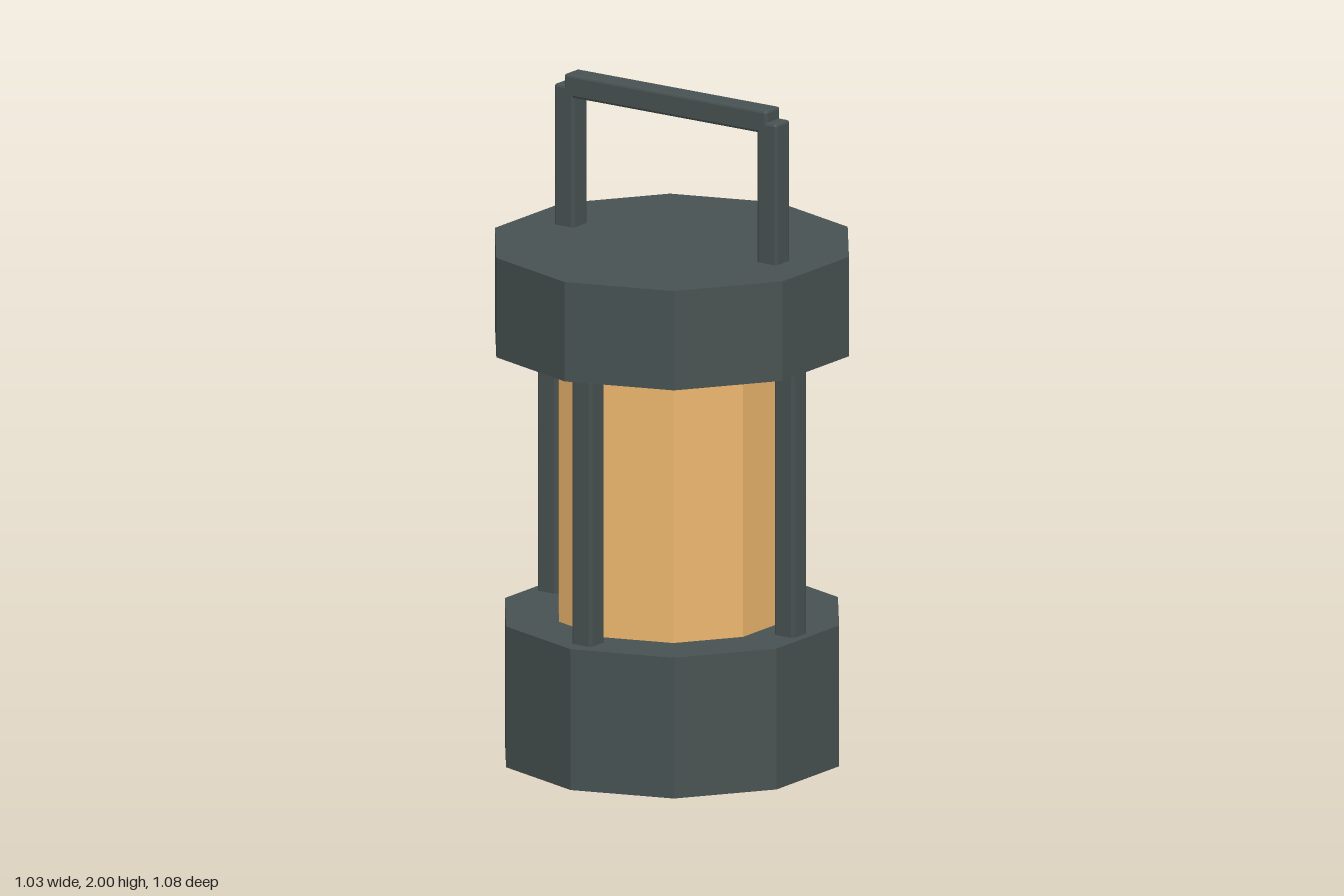
import * as THREE from 'three';
import { RoundedBoxGeometry } from 'three/addons/geometries/RoundedBoxGeometry.js';

const SIDES = 10;
const BAR = 0.07; // thickness of posts and handle

export function createModel() {
  const lantern = new THREE.Group();
  lantern.name = 'lantern';

  const metal = new THREE.MeshStandardMaterial({ color: 0x485252, flatShading: true });
  const glow = new THREE.MeshStandardMaterial({ color: 0xeeb76e, flatShading: true });

  const add = (name, geometry, material, x, y, z) => {
    const mesh = new THREE.Mesh(geometry, material);
    mesh.name = name;
    mesh.position.set(x, y, z);
    lantern.add(mesh);
  };

  // Ten-sided drum between two heights
  const drum = (name, radius, y0, y1, material) =>
    add(name, new THREE.CylinderGeometry(radius, radius, y1 - y0, SIDES), material, 0, (y0 + y1) / 2, 0);

  // Upright bar with chamfered edges
  const upright = (name, x, z, y0, y1) =>
    add(name, new RoundedBoxGeometry(BAR, y1 - y0, BAR, 1, 0.008), metal, x, (y0 + y1) / 2, z);

  // Body
  drum('base', 0.51, 0, 0.425, metal);
  drum('lampGlass', 0.347, 0.4, 1.225, glow);
  drum('cap', 0.54, 1.24, 1.54, metal);

  // Four guard posts around the glass
  for (let i = 0; i < 4; i++) {
    const a = (i * Math.PI) / 2;
    upright('guardPost', 0.423 * Math.sin(a), 0.423 * Math.cos(a), 0.4, 1.27);
  }

  // Carrying handle
  for (const side of [-1, 1]) upright('handleUpright', side * 0.362, 0, 1.5, 1.965);
  add('handleGrip', new RoundedBoxGeometry(0.724, BAR, BAR, 1, 0.008), metal, 0, 2 - BAR / 2, 0);

  return lantern;
}
